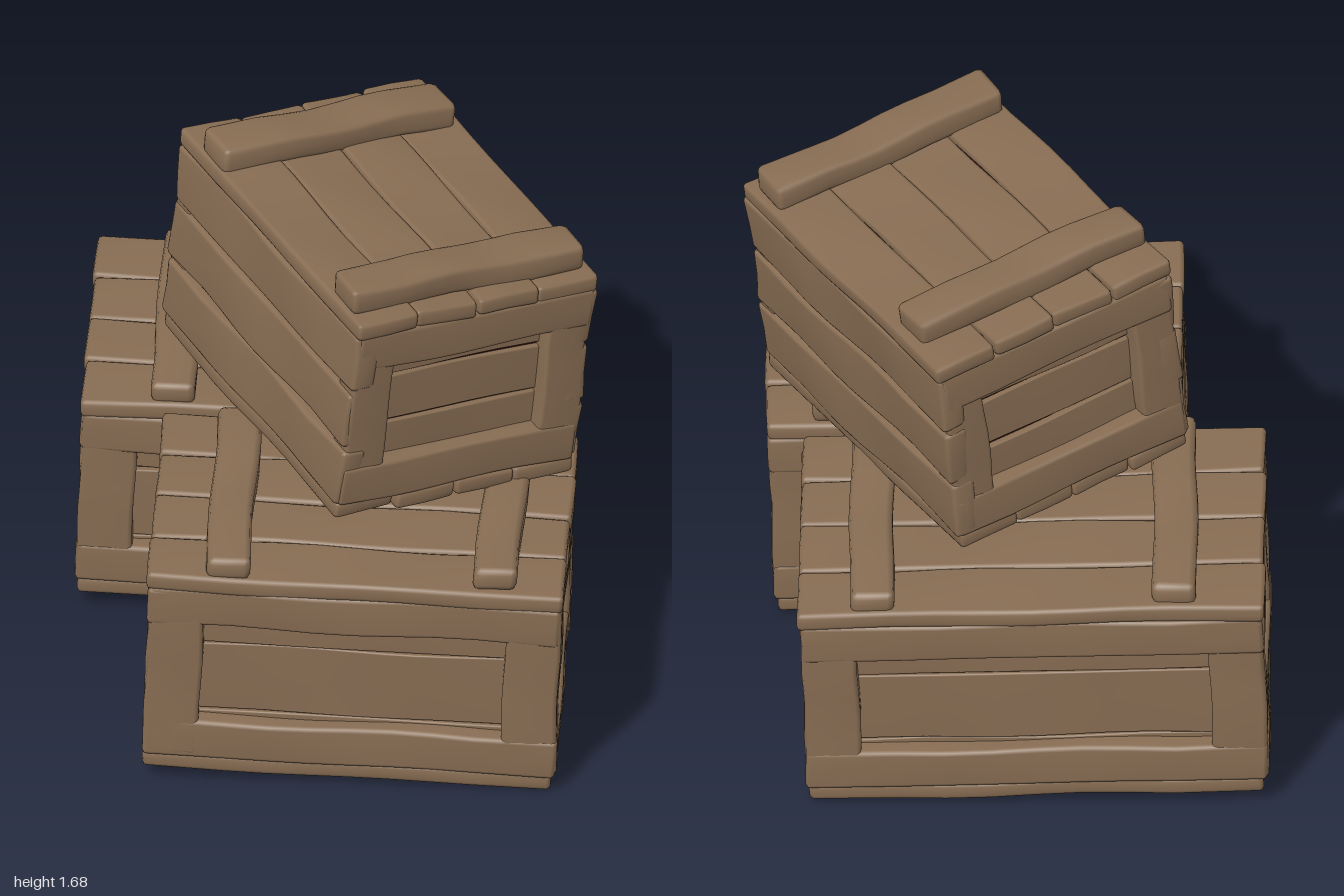
import * as THREE from 'three';
import { mergeVertices } from 'three/addons/utils/BufferGeometryUtils.js';

const wood = new THREE.MeshStandardMaterial({ color: 0x886d53 });
wood.name = 'weathered wood';
const gapDark = new THREE.MeshStandardMaterial({ color: 0x2c0c08 });
gapDark.name = 'dark gaps';

// Seeded numbers for worn, uneven boards
let seed = 7;
const rand = () => {
  seed = (seed * 16807) % 2147483647;
  return seed / 2147483647;
};
const vary = (amount) => (rand() - 0.5) * 2 * amount;

// A hand-cut board: bevelled edges, gently warped surface, smooth normals
function board(name, w, h, d, x, y, z, r = 0.014, warp = 0.004) {
  const size = [w, h, d];
  const segs = size.map((s) => Math.max(4, Math.min(10, Math.round(s / 0.12) + 2)));
  let geo = new THREE.BoxGeometry(w, h, d, ...segs);
  geo.deleteAttribute('normal');
  geo.deleteAttribute('uv');
  geo = mergeVertices(geo, 1e-5);
  const pos = geo.attributes.position;
  const ph = [rand() * 6, rand() * 6, rand() * 6];
  for (let i = 0; i < pos.count; i++) {
    const p = [pos.getX(i), pos.getY(i), pos.getZ(i)];
    // rows next to an edge move out to the start of the bevel
    const inner = p.map((v, k) => {
      const lim = size[k] / 2 - r;
      const row = Math.round((v / size[k] + 0.5) * segs[k]);
      if (row <= 1) return -lim;
      return row >= segs[k] - 1 ? lim : v;
    });
    const out = p.map((v, k) => (Math.abs(v) > size[k] / 2 - 1e-4 ? Math.sign(v) : 0));
    const len = Math.hypot(...out) || 1;
    const q = inner.map((v, k) => v + (out[k] / len) * r);
    pos.setXYZ(
      i,
      q[0] + warp * Math.sin(q[1] * 13 + q[2] * 9 + ph[0]),
      q[1] + warp * Math.sin(q[0] * 8 + q[2] * 15 + ph[1]),
      q[2] + warp * Math.sin(q[0] * 9 + q[1] * 14 + ph[2])
    );
  }
  geo.computeVertexNormals();
  const mesh = new THREE.Mesh(geo, wood);
  mesh.name = name;
  mesh.position.set(x, y, z);
  return mesh;
}

// Picture-frame wall with sunken boards split at the given heights, outer face at z = 0
function framedWall(name, w, h, stile, rail, splits, gap) {
  const g = new THREE.Group();
  g.name = name;
  const t = 0.1;
  for (const s of [-1, 1]) {
    g.add(board('rail', w, rail, t, 0, s * (h - rail) / 2, -t / 2));
    g.add(board('stile', stile, h - 0.02, t - 0.004, s * (w - stile) / 2, 0, -t / 2));
  }
  const reach = h / 2 - rail + 0.03;
  const edges = [-reach, ...splits, reach];
  for (let i = 0; i < edges.length - 1; i++) {
    const lo = edges[i], hi = edges[i + 1];
    g.add(board('sunkenBoard', w - 2 * stile + 0.04, hi - lo - gap, 0.04,
      0, (lo + hi) / 2, -0.075 + vary(0.003), 0.005, 0.003));
  }
  return g;
}

// Plain wall of long horizontal planks, outer face at z = 0
function plankWall(name, w, h, gap) {
  const g = new THREE.Group();
  g.name = name;
  const ph = h / 3;
  for (let i = 0; i < 3; i++) {
    g.add(board('sidePlank', w + vary(0.006), ph - gap, 0.08, 0, (i - 1) * ph, -0.04, 0.015, 0.005));
  }
  return g;
}

function crate(name, { L, H, D, cleats, cleatSize, plankSides, stile, endStile, splits, gap }) {
  const g = new THREE.Group();
  g.name = name;
  const t = 0.06, wallH = H - 2 * t + 0.016, planks = 4;

  // dark inside seen through the gaps
  const core = new THREE.Mesh(
    new THREE.BoxGeometry(L - 0.15, H - 0.045, D - (plankSides ? 0.06 : 0.15)), gapDark);
  core.name = 'darkInside';
  g.add(core);

  // lid planks, and floor planks cut slightly shorter
  for (const s of [-1, 1]) {
    const trim = s < 0 ? 0.025 : 0;
    const pw = (D - trim) / planks;
    for (let i = 0; i < planks; i++) {
      g.add(board(s > 0 ? 'lidPlank' : 'floorPlank', L - trim + vary(0.008), t, pw - 0.003,
        vary(0.005), s * (H - t) / 2 + vary(0.003), (i - (planks - 1) / 2) * pw, 0.014, 0.0035));
    }
  }

  // four walls
  for (const s of [-1, 1]) {
    const side = plankSides
      ? plankWall('longWall', L - 0.01, wallH, gap)
      : framedWall('longWall', L - 0.01, wallH, stile, 0.135, splits, gap);
    side.position.z = s * (D / 2 - 0.003);
    if (s < 0) side.rotation.y = Math.PI;
    const end = framedWall('endWall', D - 0.03, wallH, endStile, 0.135, splits, gap);
    end.position.x = s * (L / 2 - 0.003);
    end.rotation.y = s * Math.PI / 2;
    g.add(side, end);
  }

  // cross cleats on the lid
  const [cw, ch] = cleatSize;
  for (const x of cleats) {
    const c = board('lidCleat', cw, ch, D * 0.95, x, H / 2 + ch / 2 - 0.01, vary(0.01), 0.02, 0.005);
    c.rotation.y = vary(0.015);
    g.add(c);
  }
  return g;
}

export function createModel() {
  seed = 7;
  const model = new THREE.Group();
  model.name = 'crateStack';

  const lower = { H: 0.725, cleatSize: [0.135, 0.075], stile: 0.17, endStile: 0.163, splits: [-0.16, 0.085], gap: 0.004 };

  const back = crate('backCrate', { ...lower, L: 1.43, D: 0.92, cleats: [-0.44, 0.49] });
  back.position.set(-0.115, 0.386, -0.45);
  back.rotation.set(0, 0.12, -0.032, 'ZYX');

  const front = crate('frontCrate', { ...lower, L: 1.28, D: 0.9, cleats: [-0.4, 0.43] });
  front.position.set(0.18, 0.383, 0.47);
  front.rotation.set(0, 0.125, -0.035, 'ZYX');

  // upper crate, turned and leaning
  const upper = crate('upperCrate', {
    L: 1.17, H: 0.725, D: 0.85, cleats: [-0.385, 0.45], cleatSize: [0.15, 0.09],
    plankSides: true, endStile: 0.14, splits: [-0.06, 0.11], gap: 0.011
  });
  upper.position.set(0.153, 1.185, -0.005);
  upper.rotation.set(-0.03, -0.9, -0.1, 'XZY');

  model.add(back, front, upper);
  return model;
}
